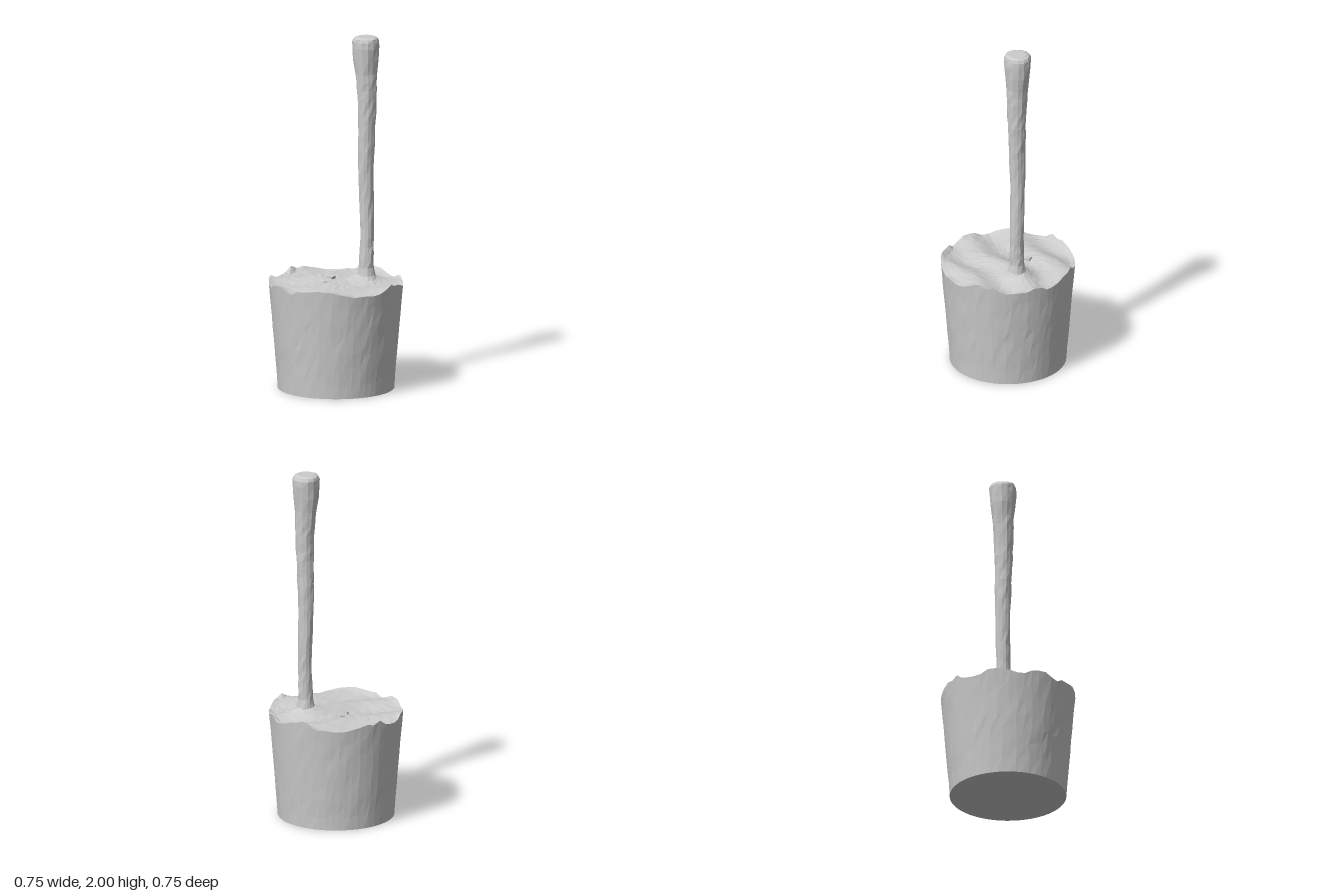
import * as THREE from 'three';

const TAU = Math.PI * 2;
const material = new THREE.MeshStandardMaterial({ color: 0xcccccc, flatShading: true });

// Repeatable noise in -1..1 for a pair of grid numbers
function noise(i, j) {
  const s = Math.sin(i * 127.1 + j * 311.7) * 43758.5453;
  return (s - Math.floor(s)) * 2 - 1;
}

// Closed ring surface: point(i, j) gives a vertex, rows run upward and inward
function ringSurface(sides, rows, point) {
  const positions = [], index = [];
  for (let j = 0; j <= rows; j++) {
    for (let i = 0; i < sides; i++) positions.push(...point(i, j));
  }
  for (let j = 0; j < rows; j++) {
    for (let i = 0; i < sides; i++) {
      const n = (i + 1) % sides;
      const a = j * sides + i, b = j * sides + n;
      const c = b + sides, d = a + sides;
      index.push(a, b, c, a, c, d);
    }
  }
  const geometry = new THREE.BufferGeometry();
  geometry.setAttribute('position', new THREE.Float32BufferAttribute(positions, 3));
  geometry.setIndex(index);
  geometry.computeVertexNormals();
  return geometry;
}

function addMesh(group, name, geometry) {
  const mesh = new THREE.Mesh(geometry, material);
  mesh.name = name;
  group.add(mesh);
  return mesh;
}

// Rippled ground with a small mound around the stick
function groundHeight(x, z) {
  const w = z + 0.3 * x + 0.02 * Math.sin(x * 14);
  const ripple = 0.013 * Math.cos((TAU * (w - 0.05)) / 0.25);
  const swell = 0.008 * Math.sin(x * 11 + 1) * Math.cos(z * 7);
  const d = Math.hypot(x - 0.17, z);
  return 0.6 + ripple + swell + 0.035 * Math.exp(-((d / 0.075) ** 2));
}

const SIDES = 56;
const outerRadius = (y) => 0.327 + 0.05 * Math.min(y / 0.6, 1);

// Uneven lip, with a few raised chips
function rimHeight(i) {
  const a = (i / SIDES) * TAU;
  const chip = [7, 22, 33, 49].includes(i) ? 0.018 : 0;
  return groundHeight(0.375 * Math.sin(a), 0.375 * Math.cos(a)) + 0.006 + 0.007 * noise(i, 3) + chip;
}

export function createModel() {
  const model = new THREE.Group();
  model.name = 'stickInTub';

  // Tapered side wall
  const wallRows = 7;
  addMesh(model, 'tubWall', ringSurface(SIDES, wallRows, (i, j) => {
    const inner = j > 0 && j < wallRows;
    const a = ((i + (inner ? 0.3 * noise(i, j) : 0)) / SIDES) * TAU;
    const y = rimHeight(i) * (j + (inner ? 0.25 * noise(j, i) : 0)) / wallRows;
    const r = outerRadius(y) - (inner ? 0.003 * Math.abs(noise(i + 9, j)) : 0);
    return [r * Math.sin(a), y, r * Math.cos(a)];
  }));

  // Flat underside
  const base = addMesh(model, 'tubBase', new THREE.CircleGeometry(0.327, SIDES));
  base.rotation.x = Math.PI / 2;

  // Rippled top surface, from the lip to the middle
  const topRows = 13;
  addMesh(model, 'groundSurface', ringSurface(SIDES, topRows, (i, j) => {
    const a = (i / SIDES) * TAU;
    const r = 0.377 * (1 - j / topRows);
    const x = r * Math.sin(a), z = r * Math.cos(a);
    const rough = j < topRows - 2 ? 0.002 * noise(i, j) : 0;
    return [x, j === 0 ? rimHeight(i) : groundHeight(x, z) + rough, z];
  }));

  // Stick profile: radius and height, flared at the foot and the knob
  const profile = [
    [0.075, 0.6], [0.05, 0.635], [0.041, 0.68], [0.039, 0.8], [0.039, 0.95],
    [0.042, 1.15], [0.046, 1.35], [0.049, 1.5], [0.054, 1.65], [0.061, 1.79],
    [0.071, 1.87], [0.076, 1.94], [0.076, 1.975], [0.07, 1.992], [0.05, 2], [0, 2],
  ];
  const stickSides = 14;
  const rows = [];
  profile.forEach(([r, y], k) => {
    rows.push([r, y]);
    const next = profile[k + 1];
    if (next && next[1] - y > 0.1) {
      for (const t of [1 / 3, 2 / 3]) rows.push([r + (next[0] - r) * t, y + (next[1] - y) * t]);
    }
  });
  addMesh(model, 'stick', ringSurface(stickSides, rows.length - 1, (i, j) => {
    const [radius, y] = rows[j];
    const a = (i / stickSides) * TAU;
    const r = radius + (radius > 0 ? 0.0025 * noise(i, j + 40) : 0);
    const cx = 0.173 + 0.003 * Math.sin(y * 9);
    const cz = -0.002 + 0.003 * Math.cos(y * 8);
    return [cx + r * Math.sin(a), y, cz + r * Math.cos(a)];
  }));

  // Half-buried bits on the ground
  [[-0.005, -0.12, 0.034, 0.034], [-0.045, -0.025, 0.045, 0.012]].forEach(([x, z, w, d]) => {
    const bit = addMesh(model, 'pebble', new THREE.BoxGeometry(w, 0.02, d));
    bit.position.set(x, groundHeight(x, z), z);
    bit.rotation.set(0.2, -0.8, 0.15);
  });

  return model;
}
